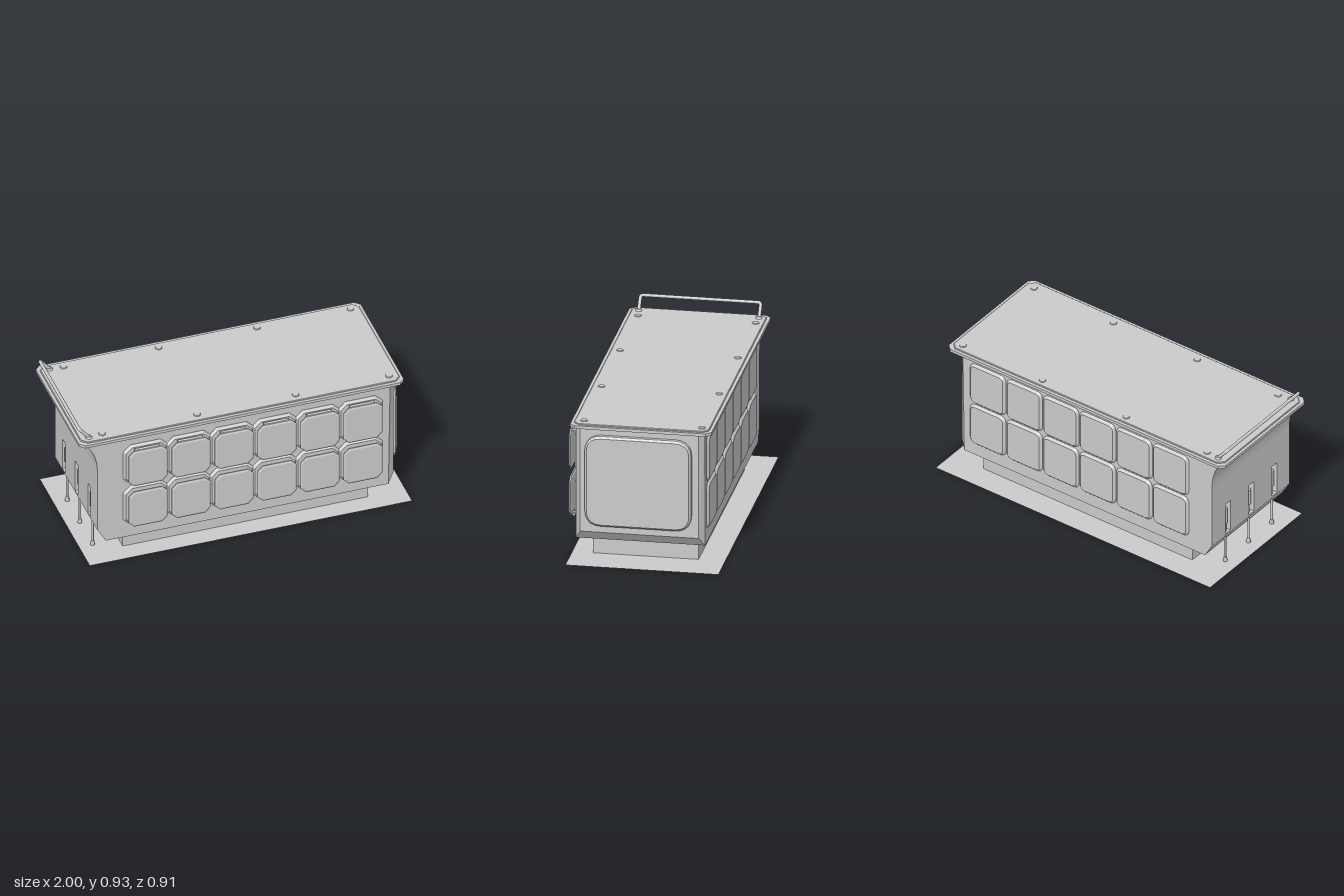
import * as THREE from 'three';

const grey = new THREE.MeshStandardMaterial({ color: 0xcccccc });
const thin = new THREE.MeshStandardMaterial({ color: 0xcccccc, side: THREE.DoubleSide });
const inside = new THREE.MeshStandardMaterial({ color: 0xcccccc, side: THREE.BackSide });

const COLS = [-0.6, -0.34, -0.08, 0.18, 0.44, 0.7];
const ROWS = [0.345, 0.632];
const ZF = 0.395, ZB = -0.355, ZC = 0.02;

export function createModel() {
  const root = new THREE.Group();

  function add(name, geo, x = 0, y = 0, z = 0, mat = grey, parent = root) {
    const m = new THREE.Mesh(geo, mat);
    m.name = name;
    m.position.set(x, y, z);
    parent.add(m);
    return m;
  }

  // rectangle with cut (or softened) corners
  function cutRect(w, h, c, soft = false) {
    const s = new THREE.Shape(), a = w / 2, b = h / 2;
    const corner = (cx, cy, x, y) => (soft ? s.quadraticCurveTo(cx, cy, x, y) : s.lineTo(x, y));
    s.moveTo(-a + c, -b);
    s.lineTo(a - c, -b); corner(a, -b, a, -b + c);
    s.lineTo(a, b - c); corner(a, b, a - c, b);
    s.lineTo(-a + c, b); corner(-a, b, -a, b - c);
    s.lineTo(-a, -b + c); corner(-a, -b, -a + c, -b);
    return s;
  }

  // bevelled plate whose outer face is at z = t
  function plate(w, h, c, t, bevel, bevelT = bevel, soft = false) {
    return new THREE.ExtrudeGeometry(cutRect(w - 2 * bevel, h - 2 * bevel, c, soft), {
      depth: t - bevelT, bevelEnabled: bevel > 0, bevelSize: bevel,
      bevelThickness: bevelT, bevelSegments: 1, curveSegments: 5,
    });
  }

  // flat faces from lists of four corners
  function quads(list) {
    const p = [];
    for (const [a, b, c, d] of list) p.push(...a, ...b, ...c, ...a, ...c, ...d);
    const g = new THREE.BufferGeometry();
    g.setAttribute('position', new THREE.Float32BufferAttribute(p, 3));
    g.computeVertexNormals();
    return g;
  }

  function rectHole(shape, x0, y0, x1, y1) {
    shape.holes.push(new THREE.Path([[x0, y0], [x0, y1], [x1, y1], [x1, y0]].map(p => new THREE.Vector2(...p))));
  }

  // body side walls with the flared left edge
  const flare = new THREE.QuadraticBezierCurve(
    new THREE.Vector2(-0.96, 0.825), new THREE.Vector2(-0.89, 0.75), new THREE.Vector2(-0.89, 0.62)).getPoints(10);
  const side = new THREE.Shape([...flare, ...[[-0.89, 0.21], [-0.84, 0.125], [0.87, 0.125], [0.88, 0.825]]
    .map(p => new THREE.Vector2(...p))]);
  for (const [name, z] of [['frontWall', ZF], ['backWall', ZB]]) {
    const g = new THREE.ShapeGeometry(side);
    if (z < 0) { // turn the back wall outward
      const i = g.index.array;
      for (let k = 0; k < i.length; k += 3) [i[k], i[k + 1]] = [i[k + 1], i[k]];
      g.computeVertexNormals();
    }
    add(name, g, 0, 0, z, thin);
  }

  // left end: flared strip, slotted flat wall and lower chamfer
  const flareGeo = new THREE.PlaneGeometry(1, 1, flare.length - 1, 1);
  const fp = flareGeo.attributes.position;
  for (let i = 0; i < fp.count; i++) {
    const q = flare[i % flare.length];
    fp.setXYZ(i, q.x, q.y, i < flare.length ? ZF : ZB);
  }
  const fi = flareGeo.index.array;
  for (let k = 0; k < fi.length; k += 3) [fi[k], fi[k + 1]] = [fi[k + 1], fi[k]];
  flareGeo.computeVertexNormals();
  // choose the winding that faces outward
  if (flareGeo.attributes.normal.getX(5) > 0) {
    for (let k = 0; k < fi.length; k += 3) [fi[k], fi[k + 1]] = [fi[k + 1], fi[k]];
    flareGeo.computeVertexNormals();
  }
  add('leftFlare', flareGeo, 0, 0, 0, thin);

  const RODS = [-0.2, 0.025, 0.25];
  const end = new THREE.Shape([[ZB, 0.21], [ZF, 0.21], [ZF, 0.62], [ZB, 0.62]].map(p => new THREE.Vector2(...p)));
  for (const z of RODS) rectHole(end, z - 0.025, 0.22, z + 0.025, 0.43);
  add('leftEndWall', new THREE.ShapeGeometry(end).rotateY(-Math.PI / 2), -0.89, 0, 0, thin);
  add('leftChamfer', quads([[[-0.84, 0.125, ZB], [-0.84, 0.125, ZF], [-0.89, 0.21, ZF], [-0.89, 0.21, ZB]]]), 0, 0, 0, thin);

  // hanging rods in the slots
  for (const z of RODS) {
    add('rodSlot', new THREE.BoxGeometry(0.04, 0.21, 0.05), -0.87, 0.325, z, inside);
    add('rod', new THREE.CylinderGeometry(0.007, 0.007, 0.32, 10), -0.87, 0.19, z);
    add('rodCollar', new THREE.CylinderGeometry(0.014, 0.014, 0.1, 10), -0.87, 0.33, z);
    add('rodFoot', new THREE.CylinderGeometry(0.01, 0.014, 0.028, 8), -0.87, 0.022, z);
  }

  // right end wall with chamfered corners
  const f = ZF - 0.03, b = ZB + 0.03, T = 0.825;
  add('rightEndWall', quads([
    [[0.91, 0.18, f], [0.91, 0.18, b], [0.91, T, b], [0.91, T, f]],
    [[0.87, 0.125, ZF], [0.91, 0.18, f], [0.91, T, f], [0.88, T, ZF]],
    [[0.91, 0.18, b], [0.87, 0.125, ZB], [0.88, T, ZB], [0.91, T, b]],
    [[0.87, 0.125, ZF], [0.87, 0.125, ZB], [0.91, 0.18, b], [0.91, 0.18, f]],
  ]), 0, 0, 0, thin);
  add('rightEndPanel', plate(0.62, 0.55, 0.085, 0.035, 0.012, 0.012, true).rotateY(Math.PI / 2), 0.91, 0.5, 0.025);

  // floor with the plinth opening, plinth walls and ground flange
  const floor = new THREE.Shape([[-0.84, -ZF], [0.87, -ZF], [0.87, -ZB], [-0.84, -ZB]].map(p => new THREE.Vector2(...p)));
  rectHole(floor, -0.71, -0.315, 0.775, 0.3);
  add('floor', new THREE.ShapeGeometry(floor).rotateX(-Math.PI / 2), 0, 0.125, 0, thin);
  const flange = new THREE.Shape([[-0.95, -0.435], [1, -0.435], [1, 0.455], [-0.95, 0.455]].map(p => new THREE.Vector2(...p)));
  rectHole(flange, -0.71, -0.315, 0.775, 0.3);
  add('groundFlange', new THREE.ShapeGeometry(flange).rotateX(-Math.PI / 2), 0, 0.001, 0, thin);
  const ring = [[-0.71, 0.315], [0.775, 0.315], [0.775, -0.3], [-0.71, -0.3]];
  add('plinth', quads(ring.map(([x, z], i) => {
    const [x2, z2] = ring[(i + 1) % 4];
    return [[x, 0, z], [x2, 0, z2], [x2, 0.125, z2], [x, 0.125, z]];
  })), 0, 0, 0, thin);

  // lid with rim, top sheet and bolts
  const up = g => g.rotateX(-Math.PI / 2);
  add('lidRim', up(plate(1.965, 0.823, 0.03, 0.018, 0)), -0.0175, 0.825, 0.0065);
  add('lidTop', up(plate(1.93, 0.785, 0.03, 0.007, 0.004, 0.003)), -0.0175, 0.843, 0.0065);
  for (const x of [-0.845, -0.27, 0.325, 0.89]) for (const z of [-0.34, 0.345])
    add('lidBolt', new THREE.CylinderGeometry(0.019, 0.022, 0.006, 8), x, 0.852, z);

  // slanted grab handle
  const rail = new THREE.CurvePath(), V = (x, y, z) => new THREE.Vector3(x, y, z);
  const pts = [V(-0.925, 0.85, 0.355), V(-0.975, 0.908, 0.355), V(-0.988, 0.924, 0.34),
    V(-0.988, 0.924, -0.33), V(-0.975, 0.908, -0.345), V(-0.925, 0.85, -0.345)];
  rail.add(new THREE.LineCurve3(pts[0], pts[1]));
  rail.add(new THREE.QuadraticBezierCurve3(pts[1], V(-0.988, 0.924, 0.355), pts[2]));
  rail.add(new THREE.LineCurve3(pts[2], pts[3]));
  rail.add(new THREE.QuadraticBezierCurve3(pts[3], V(-0.988, 0.924, -0.345), pts[4]));
  rail.add(new THREE.LineCurve3(pts[4], pts[5]));
  add('grabHandle', new THREE.TubeGeometry(rail, 120, 0.01, 10), 0, 0, 0);
  for (const z of [0.355, -0.345])
    add('handleFoot', new THREE.CylinderGeometry(0.014, 0.02, 0.012, 12), -0.928, 0.856, z);

  // door bays on the front, matching panels on the back, launch tubes inside
  for (const x of COLS) ROWS.forEach((y, row) => {
    const bay = new THREE.Group();
    bay.name = 'doorBay';
    bay.position.set(x, y, ZF);
    root.add(bay);
    add('doorFrame', plate(0.27, 0.275, 0.035, 0.015, 0.014), 0, 0, 0, grey, bay);
    add('door', plate(0.235, 0.245, 0.025, 0.0125, 0.012, 0.005), 0, 0, 0.043, grey, bay);
    const s = row ? 1 : -1; // hinge above the upper row, below the lower row
    add('hingePin', new THREE.CylinderGeometry(0.008, 0.008, 0.15, 10).rotateZ(Math.PI / 2), 0, s * 0.118, 0.03, grey, bay);
    for (const hx of [-0.055, 0.055])
      add('hingeArm', new THREE.BoxGeometry(0.03, 0.014, 0.035), hx, s * 0.113, 0.025, grey, bay);

    add('backPanel', plate(0.255, 0.28, 0.03, 0.015, 0.014, 0.014, true).rotateY(Math.PI), x, y, ZB);

    add('tubeMount', new THREE.BoxGeometry(0.23, 0.25, 0.012), x, y, 0.388);
    for (const dx of [-0.095, 0.095]) for (const dy of [-0.1, 0.1])
      add('mountBolt', new THREE.CylinderGeometry(0.01, 0.01, 0.012, 6).rotateX(Math.PI / 2), x + dx, y + dy, 0.378);
    add('tubeFlange', new THREE.CylinderGeometry(0.088, 0.088, 0.05, 24).rotateX(Math.PI / 2), x, y, 0.36);
    add('launchTube', new THREE.CylinderGeometry(0.07, 0.07, 0.5, 24).rotateX(Math.PI / 2), x, y, 0.12);
  });

  // inner posts on the left end
  for (const z of [-0.28, -0.09, 0.14, 0.34])
    add('innerPost', new THREE.BoxGeometry(0.03, 0.68, 0.04), -0.825, 0.475, z);

  return root;
}
